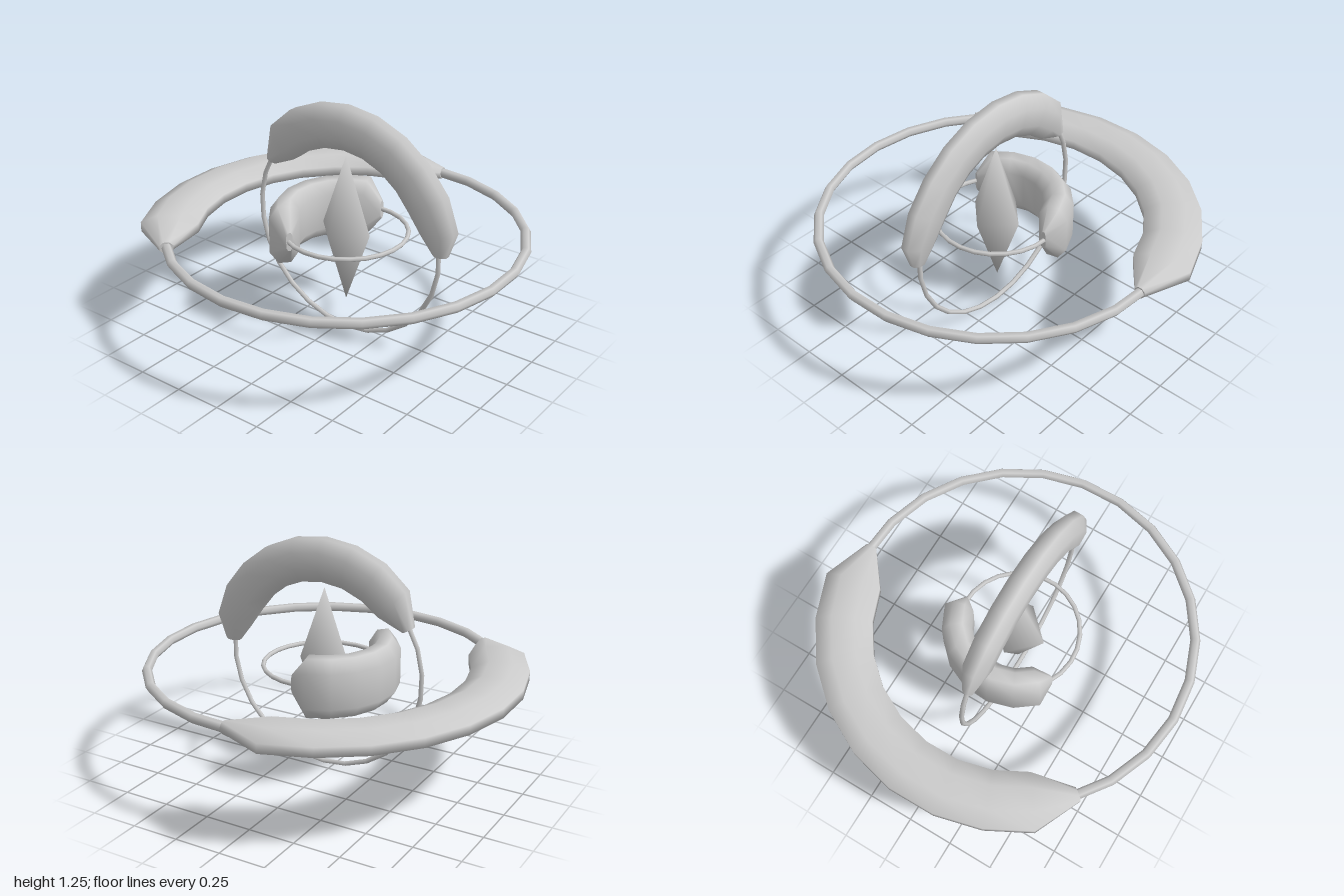
import * as THREE from 'three';
import { mergeVertices } from 'three/addons/utils/BufferGeometryUtils.js';

const material = new THREE.MeshStandardMaterial({ color: 0xcccccc });
const CENTRE = [0.05, 0.585, 0.047];

// Eight-sided cross-section; edge sets how boxy the corners are.
function octagon(edge) {
  return [[1, -edge], [1, edge], [0.41, 1], [-0.41, 1], [-1, edge], [-1, -edge], [-0.41, -1], [0.41, -1]];
}

// Thick crescent lofted through sections [degrees, inner radius, outer radius, half height].
function crescentGeometry(sections, edge) {
  const profile = octagon(edge), n = profile.length;
  const positions = [], index = [];
  const addLoop = ([deg, rIn, rOut, h]) => {
    const t = THREE.MathUtils.degToRad(deg);
    for (const [u, v] of profile) {
      const r = (rIn + rOut) / 2 + u * (rOut - rIn) / 2;
      positions.push(r * Math.cos(t), r * Math.sin(t), v * h);
    }
  };
  sections.forEach(addLoop);
  for (let i = 0; i < sections.length - 1; i++) {
    for (let j = 0; j < n; j++) {
      const a = i * n + j, c = i * n + (j + 1) % n;
      index.push(a, a + n, c, c, a + n, c + n);
    }
  }
  // Separate loops for the blunt end caps keep their rims sharp
  const start = sections.length * n, end = start + n;
  addLoop(sections[0]);
  addLoop(sections[sections.length - 1]);
  for (let j = 1; j < n - 1; j++) {
    index.push(start, start + j, start + j + 1);
    index.push(end, end + j + 1, end + j);
  }
  const geometry = new THREE.BufferGeometry();
  geometry.setAttribute('position', new THREE.Float32BufferAttribute(positions, 3));
  geometry.setIndex(index);
  geometry.computeVertexNormals();
  return geometry;
}

// A thin ring whose remaining arc is a thick crescent.
function crescentRing(name, { radius, tube, sections, edge, flat }) {
  const group = new THREE.Group();
  group.name = name;
  const crescent = new THREE.Mesh(crescentGeometry(sections, edge), material);
  crescent.name = name + 'Crescent';

  const from = sections[sections.length - 1][0] - 3;
  const sweep = sections[0][0] + 363 - from;
  const hoopGeometry = new THREE.TorusGeometry(radius, tube, 6, Math.round(sweep / 14), THREE.MathUtils.degToRad(sweep));
  const hoop = new THREE.Mesh(hoopGeometry, material);
  hoop.rotation.z = THREE.MathUtils.degToRad(from);
  hoop.name = name + 'Hoop';

  group.add(crescent, hoop);
  group.position.set(...CENTRE);
  if (flat) group.rotation.x = -Math.PI / 2;
  return group;
}

// Evenly spaced full-thickness sections
function body(from, to, count, rIn, rOut, h) {
  return Array.from({ length: count }, (_, i) => [from + (to - from) * i / (count - 1), rIn, rOut, h]);
}

export function createModel() {
  const model = new THREE.Group();
  model.name = 'crystalWithRings';

  // Four-sided crystal at the centre
  const crystalGeometry = mergeVertices(new THREE.SphereGeometry(1, 4, 2).deleteAttribute('uv').deleteAttribute('normal'), 1e-4);
  crystalGeometry.scale(0.148, 0.405, 0.15);
  crystalGeometry.computeVertexNormals();
  const crystal = new THREE.Mesh(crystalGeometry, material);
  crystal.position.set(CENTRE[0], 0.596, CENTRE[2]);
  crystal.name = 'crystal';
  model.add(crystal);

  // Large horizontal ring
  model.add(crescentRing('outerRing', {
    radius: 0.913, tube: 0.026, edge: 0.38, flat: true,
    sections: [[90, 0.88, 0.937, 0.03], ...body(104, 215, 9, 0.757, 1.052, 0.066), [229.5, 0.875, 0.945, 0.03]],
  }));

  // Small horizontal ring
  model.add(crescentRing('innerRing', {
    radius: 0.318, tube: 0.012, edge: 0.6, flat: true,
    sections: [[90, 0.3, 0.328, 0.05], ...body(105, 227, 7, 0.241, 0.394, 0.157), [242, 0.295, 0.33, 0.05]],
  }));

  // Upright ring
  model.add(crescentRing('uprightRing', {
    radius: 0.562, tube: 0.013, edge: 0.4, flat: false,
    sections: [
      [3.5, 0.53, 0.61, 0.03], [14.6, 0.48, 0.672, 0.055], [30, 0.452, 0.678, 0.065],
      ...body(45, 120, 6, 0.449, 0.674, 0.065),
      [135, 0.45, 0.662, 0.062], [150.5, 0.52, 0.585, 0.03],
    ],
  }));

  return model;
}
